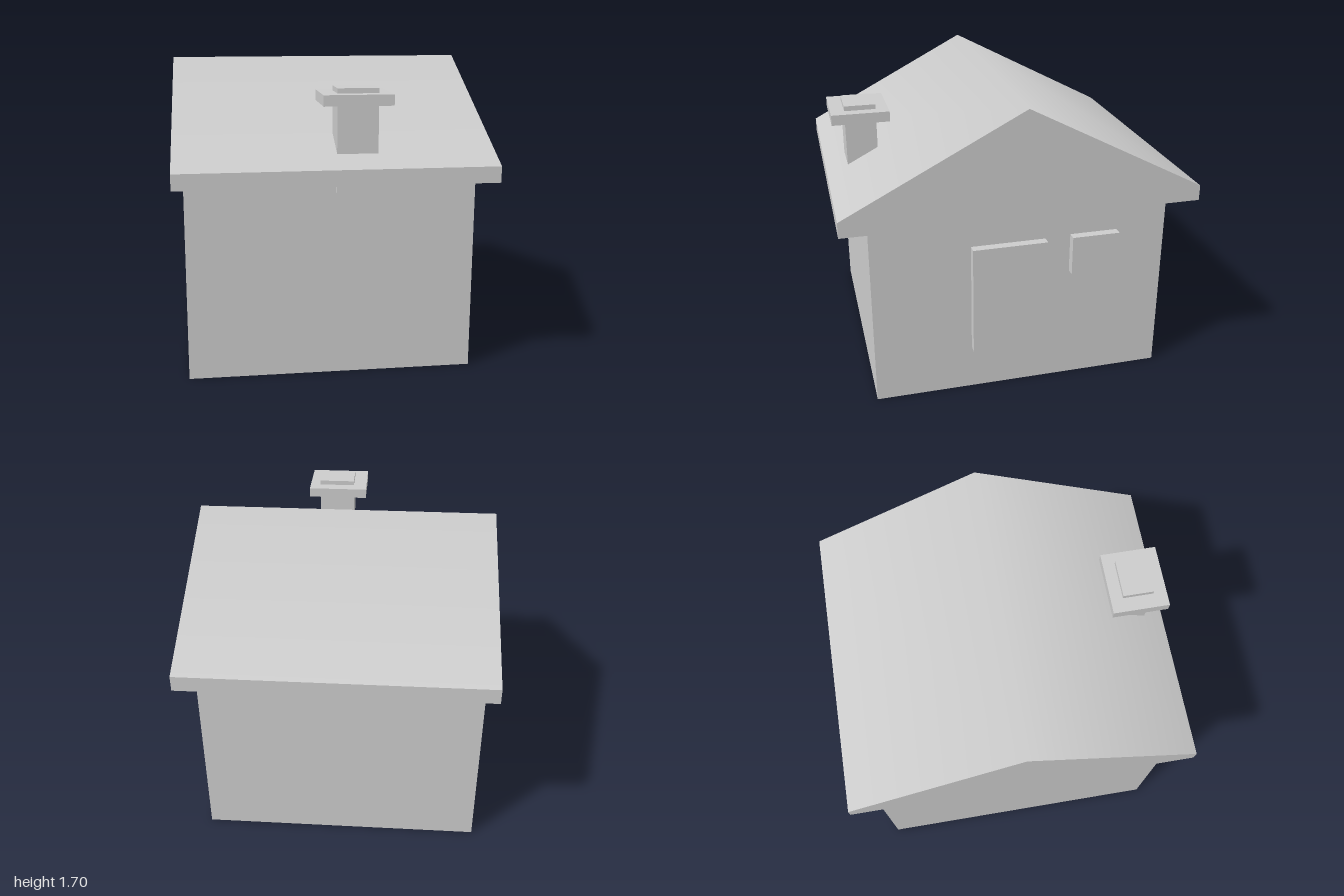
import * as THREE from 'three';

const material = new THREE.MeshStandardMaterial({ color: 0xcccccc });

// Box given by its extents along each axis
function box(name, [x0, x1], [y0, y1], [z0, z1]) {
  const mesh = new THREE.Mesh(new THREE.BoxGeometry(x1 - x0, y1 - y0, z1 - z0), material);
  mesh.position.set((x0 + x1) / 2, (y0 + y1) / 2, (z0 + z1) / 2);
  mesh.name = name;
  return mesh;
}

// Gabled roof: a five-sided profile swept along x, shaded smoothly over the ridge
function gableRoof() {
  const halfWidth = 0.86, eaveBottom = 1.087, eaveTop = 1.175, ridge = 1.697;
  const profile = new THREE.Shape([
    new THREE.Vector2(-1, eaveBottom),
    new THREE.Vector2(1, eaveBottom),
    new THREE.Vector2(1, eaveTop),
    new THREE.Vector2(0, ridge),
    new THREE.Vector2(-1, eaveTop),
  ]);
  const geometry = new THREE.ExtrudeGeometry(profile, { depth: 2 * halfWidth, bevelEnabled: false });
  geometry.rotateY(-Math.PI / 2).translate(halfWidth, 0, 0);
  const { position, normal } = geometry.attributes;
  for (let i = 0; i < position.count; i++) {
    const onRidge = position.getY(i) > ridge - 0.001;
    if (onRidge && Math.abs(normal.getX(i)) < 0.5) normal.setXYZ(i, 0, 1, 0);
  }
  const mesh = new THREE.Mesh(geometry, material);
  mesh.name = 'roof';
  return mesh;
}

export function createModel() {
  const house = new THREE.Group();
  house.name = 'house';

  // Walls and roof
  house.add(box('walls', [-0.803, 0.77], [0, 1.068], [-0.845, 0.845]), gableRoof());

  // Door and window panels on the gable wall
  house.add(box('door', [0.75, 0.82], [0.265, 0.908], [-0.135, 0.29]));
  house.add(box('window', [0.75, 0.82], [0.688, 0.917], [-0.555, -0.28]));

  // Chimney shaft with its wide cap
  const chimney = new THREE.Group();
  chimney.name = 'chimney';
  chimney.add(box('chimneyShaft', [0.003, 0.223], [1.027, 1.582], [0.705, 0.88]));
  chimney.add(box('chimneyCap', [-0.08, 0.288], [1.497, 1.555], [0.635, 0.957]));
  house.add(chimney);

  return house;
}
